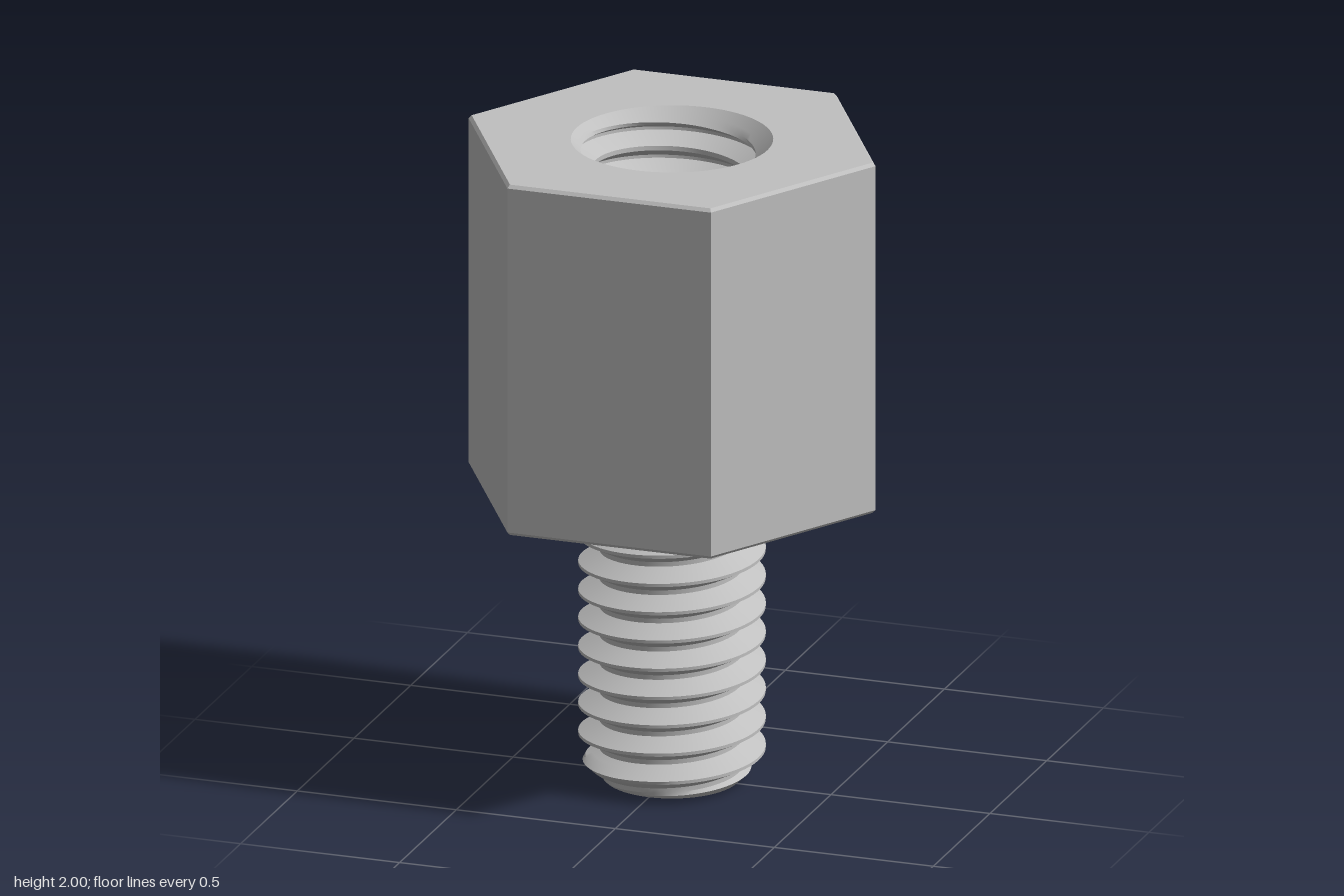
import * as THREE from 'three';
import { toCreasedNormals } from 'three/addons/utils/BufferGeometryUtils.js';

const PITCH = 0.0888;
const SEGMENTS = 72;
const { clamp, euclideanModulo } = THREE.MathUtils;

// Helical thread surface between y0 and y1. crestY is the height of a ridge at the front.
// limit(r, y) trims the radius for a chamfer; inward turns the faces to the axis.
function threadGeometry({ y0, y1, root, crest, crestY, limit, inward }) {
  const radius = (t, y) => {
    const phase = (y - crestY) / PITCH - t / (2 * Math.PI);
    const d = Math.abs(euclideanModulo(phase + 0.5, 1) - 0.5);
    const r = crest - clamp((d - 0.055) / 0.365, 0, 1) * (crest - root);
    return limit(r, y);
  };
  // Rows follow the helix and line up with the profile corners
  const offsets = [-0.42, -0.3, -0.18, -0.055, 0.055, 0.18, 0.3, 0.42];
  const rows = [];
  const first = Math.floor((y0 - crestY) / PITCH) - 2;
  const last = Math.ceil((y1 - crestY) / PITCH) + 1;
  for (let k = first; k <= last; k++) for (const o of offsets) rows.push(k + o);

  const point = (i, j) => {
    const t = (i / SEGMENTS) * 2 * Math.PI;
    const y = clamp(crestY + PITCH * (rows[j] + i / SEGMENTS), y0, y1);
    const r = radius(t, y);
    return new THREE.Vector3(r * Math.sin(t), y, r * Math.cos(t));
  };
  const positions = [];
  const triangle = new THREE.Triangle();
  const add = (a, b, c) => {
    if (triangle.set(a, b, c).getArea() < 1e-9) return;
    for (const p of inward ? [a, c, b] : [a, b, c]) positions.push(p.x, p.y, p.z);
  };
  for (let j = 0; j < rows.length - 1; j++) {
    for (let i = 0; i < SEGMENTS; i++) {
      const a = point(i, j), b = point(i + 1, j), c = point(i + 1, j + 1), d = point(i, j + 1);
      add(a, b, c);
      add(a, c, d);
    }
  }
  const geometry = new THREE.BufferGeometry();
  geometry.setAttribute('position', new THREE.Float32BufferAttribute(positions, 3));
  return toCreasedNormals(geometry, 0.45);
}

export function createModel() {
  const model = new THREE.Group();
  model.name = 'hexStandoff';
  const steel = new THREE.MeshStandardMaterial({ color: 0xc0c0c0 });
  steel.name = 'steel';
  const add = (name, geometry) => {
    const mesh = new THREE.Mesh(geometry, steel);
    mesh.name = name;
    model.add(mesh);
    return mesh;
  };

  // Six-sided body with small chamfers, open at the top
  const profile = [[0, 0.9], [0.63, 0.9], [0.64, 0.91], [0.64, 1.99], [0.63, 2]];
  const body = new THREE.LatheGeometry(profile.map(p => new THREE.Vector2(...p)), 6, Math.PI / 2);
  add('hexBody', toCreasedNormals(body, 0.2));

  // Top face with a round opening
  const hexagon = new THREE.Shape();
  for (let i = 0; i < 6; i++) {
    const a = (i * Math.PI) / 3;
    hexagon[i ? 'lineTo' : 'moveTo'](0.63 * Math.cos(a), 0.63 * Math.sin(a));
  }
  hexagon.closePath();
  hexagon.holes.push(new THREE.Path().absarc(0, 0, 0.3, 0, Math.PI * 2, true));
  add('topFace', new THREE.ShapeGeometry(hexagon, 36).rotateX(-Math.PI / 2).translate(0, 2, 0));

  // Threaded socket with a countersunk mouth
  add('socketThread', threadGeometry({
    y0: 1.1, y1: 2, root: 0.233, crest: 0.288, crestY: 1.972, inward: true,
    limit: (r, y) => Math.max(r, 0.3 - (2 - y)),
  }));
  add('socketFloor', new THREE.CircleGeometry(0.292, SEGMENTS).rotateX(-Math.PI / 2).translate(0, 1.1, 0));

  // Threaded stud with a chamfered tip
  add('studThread', threadGeometry({
    y0: 0, y1: 0.905, root: 0.215, crest: 0.278, crestY: 0.869, inward: false,
    limit: (r, y) => Math.min(r, 0.203 + y * 1.07),
  }));
  add('studTip', new THREE.CircleGeometry(0.203, SEGMENTS).rotateX(Math.PI / 2));

  return model;
}
